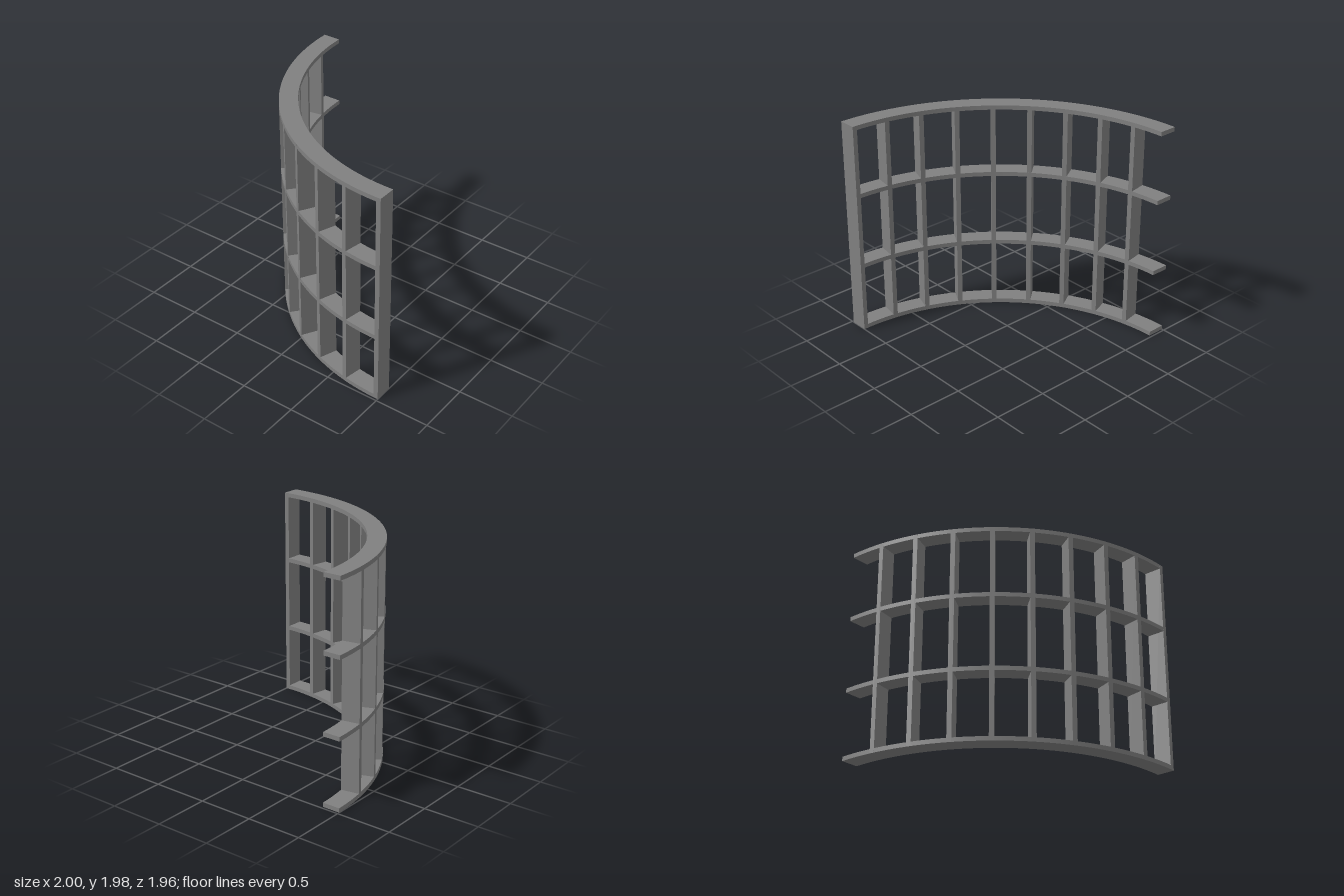
import * as THREE from 'three';
import { toCreasedNormals } from 'three/addons/utils/BufferGeometryUtils.js';

const OUTER = 1.979, INNER = 1.816, HEIGHT = 1.978;
const POST_W = 0.042, RAIL_H = 0.039, BAYS = 9, STEPS = 72;
const RAIL_Y = [0, 0.621, 1.304, HEIGHT - RAIL_H];

// Quarter-circle rail, starting at the flat side of the first post
// and stopping where a last post would stand
function railGeometry() {
  const arc = (r) => Array.from({ length: STEPS + 1 }, (_, i) => {
    const trim = Math.asin(POST_W / 2 / r);
    const a = THREE.MathUtils.lerp(trim, Math.PI / 2 - trim, i / STEPS);
    return new THREE.Vector2(-r * Math.sin(a), -r * Math.cos(a));
  });
  const shape = new THREE.Shape([...arc(OUTER), ...arc(INNER).reverse()]);
  const geometry = new THREE.ExtrudeGeometry(shape, { depth: RAIL_H, bevelEnabled: false });
  geometry.rotateX(-Math.PI / 2);
  return toCreasedNormals(geometry, 0.5);
}

export function createModel() {
  const model = new THREE.Group();
  model.name = 'curvedFrame';
  const material = new THREE.MeshStandardMaterial({ color: 0x808080 });

  const frame = new THREE.Group();
  frame.name = 'frame';
  frame.position.set(0.979, 0, -1); // centre of the arc
  model.add(frame);

  // Full-height upright posts, facing the arc centre; the far end has none
  const postGeometry = new THREE.BoxGeometry(POST_W, HEIGHT, OUTER - INNER);
  const mid = (OUTER + INNER) / 2;
  for (let k = 0; k < BAYS; k++) {
    const a = (k / BAYS) * Math.PI / 2;
    const post = new THREE.Mesh(postGeometry, material);
    post.name = 'post' + (k + 1);
    post.position.set(-mid * Math.sin(a), HEIGHT / 2, mid * Math.cos(a));
    post.rotation.y = -a;
    frame.add(post);
  }

  // Four levels of curved rails
  const rail = railGeometry();
  RAIL_Y.forEach((y, level) => {
    const mesh = new THREE.Mesh(rail, material);
    mesh.name = 'rail' + (level + 1);
    mesh.position.y = y;
    frame.add(mesh);
  });

  return model;
}
